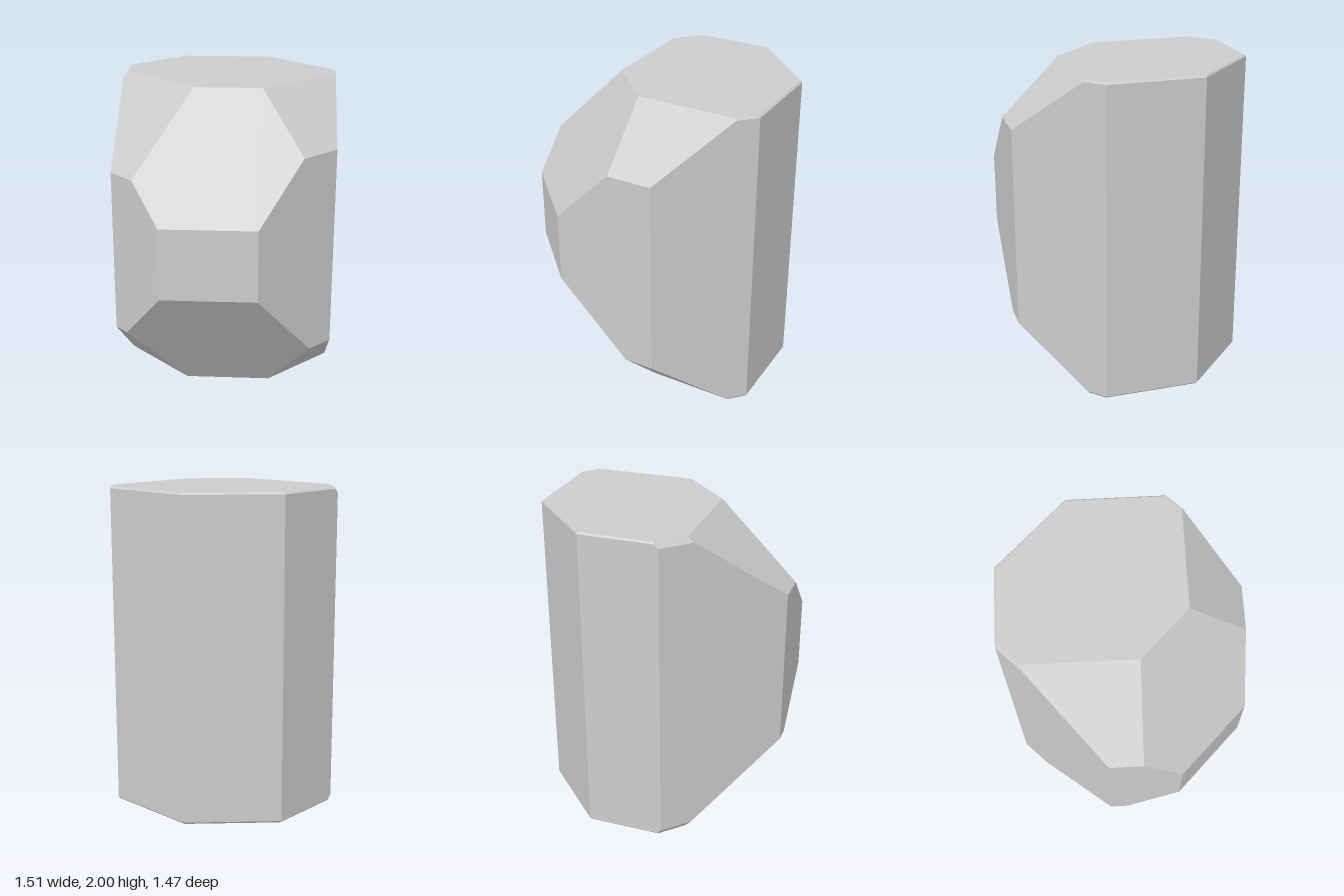
import * as THREE from 'three';
import { ConvexGeometry } from 'three/addons/geometries/ConvexGeometry.js';

// Cutting planes [nx, ny, nz, d]: the solid keeps nx*x + ny*y + nz*z <= d
const CUTS = [
  // main faces
  [1, 0, 0, 0.755], [-1, 0, 0, 0.76], [0, 1, 0, 2], [0, -1, 0, 0], [0, 0, 1, 0.73], [0, 0, -1, 0.735],
  // upright bevels
  [1, 0, 1, 1.035], [1, 0, -1, 1.068], [-1, 0, -1, 0.89], [-1, 0, 1, 1.075],
  // top and bottom edge bevels
  [0, 1, 1, 2.37], [0, -1, 1, 0.365], [-1, 1, 0, 2.275], [-1, -1, 0, 0.27],
  [1, 1, 0, 2.745], [1, -1, 0, 0.743], [0, 1, -1, 2.725], [0, -1, -1, 0.723],
  // corner bevels
  [-1, 1, 1, 2.35], [-1, -1, 1, 0.25], [1, 1, 1, 3.026], [1, -1, 1, 1.023],
  [1, 1, -1, 3.058], [1, -1, -1, 1.056], [-1, 1, -1, 2.855], [-1, -1, -1, 0.855],
];

// Corners of the solid: every meeting point of three planes that lies inside all the others
function cornersOf(cuts) {
  const planes = cuts.map(([x, y, z, d]) => ({ n: new THREE.Vector3(x, y, z), d }));
  const points = [];
  for (let i = 0; i < planes.length; i++) {
    for (let j = i + 1; j < planes.length; j++) {
      for (let k = j + 1; k < planes.length; k++) {
        const [a, b, c] = [planes[i], planes[j], planes[k]];
        const bc = b.n.clone().cross(c.n);
        const det = a.n.dot(bc);
        if (Math.abs(det) < 1e-6) continue;
        const p = bc.multiplyScalar(a.d)
          .addScaledVector(c.n.clone().cross(a.n), b.d)
          .addScaledVector(a.n.clone().cross(b.n), c.d)
          .divideScalar(det);
        const inside = planes.every(({ n, d }) => n.dot(p) <= d + 1e-6);
        if (inside && !points.some((q) => q.distanceTo(p) < 1e-4)) points.push(p);
      }
    }
  }
  return points;
}

export function createModel() {
  const stoneGrey = new THREE.MeshStandardMaterial({ color: 0xcccccc });
  stoneGrey.name = 'stoneGrey';

  // faceted stone block
  const stone = new THREE.Mesh(new ConvexGeometry(cornersOf(CUTS)), stoneGrey);
  stone.name = 'facetedStone';

  const group = new THREE.Group();
  group.name = 'stone';
  group.add(stone);
  return group;
}
